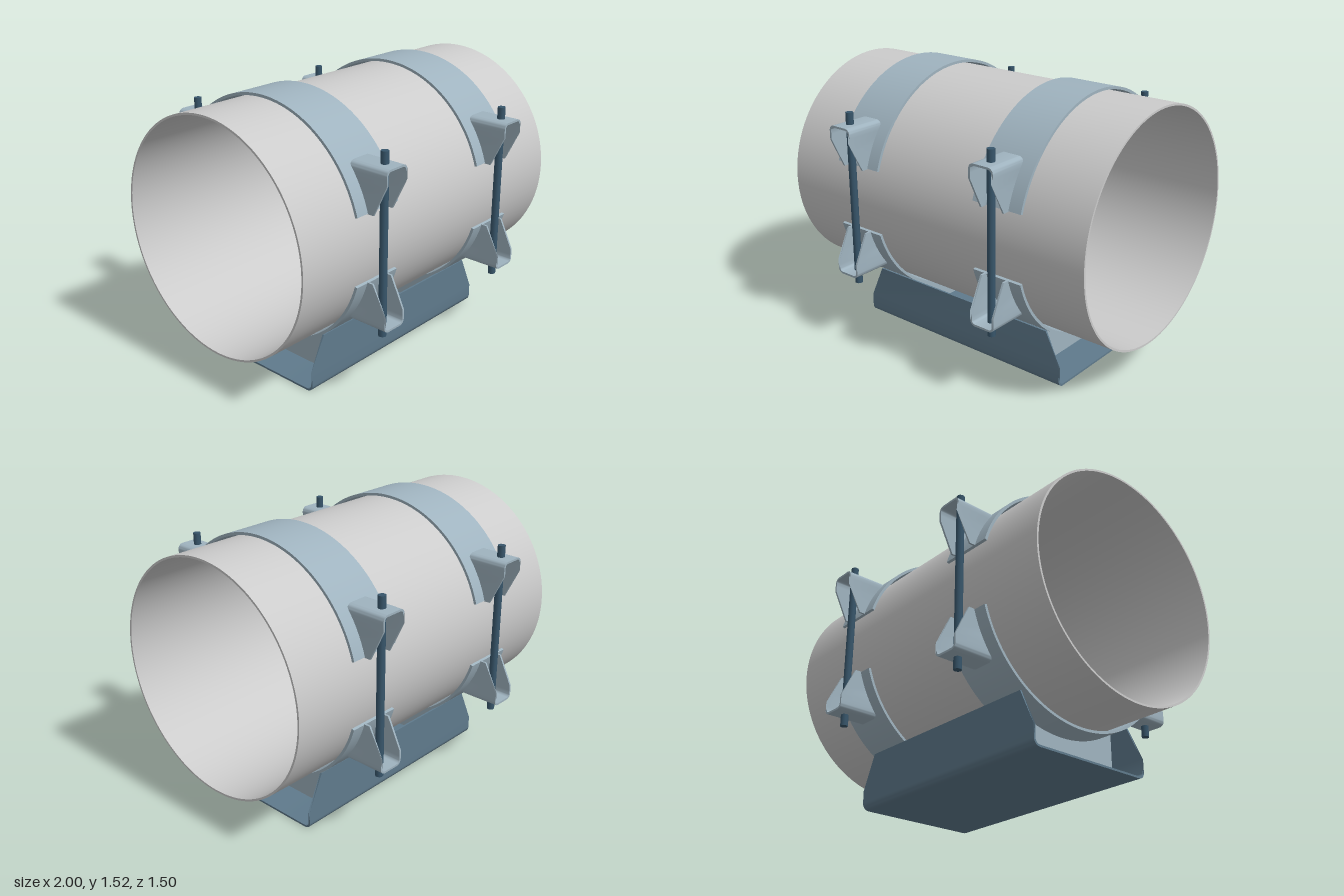
import * as THREE from 'three';
import { toCreasedNormals } from 'three/addons/utils/BufferGeometryUtils.js';

const AXIS_Y = 0.853, STRAP_R = 0.663, CLAMP_X = 0.483;

const mat = (color) => new THREE.MeshStandardMaterial({ color, side: THREE.DoubleSide });
const pipeMat = mat(0xcccccc), strapMat = mat(0x9fb3bf), baseMat = mat(0x5f7a8c), rodMat = mat(0x38566b);

function part(name, geometry, material) {
  const mesh = new THREE.Mesh(geometry, material);
  mesh.name = name;
  return mesh;
}

// Extrudes a shape symmetrically about z = 0
function extrude(shape, depth) {
  return new THREE.ExtrudeGeometry(shape, { depth, bevelEnabled: false, curveSegments: 64 })
    .translate(0, 0, -depth / 2);
}

// Moves every vertex by a rule, then shades with sharp edges kept
function reshape(geometry, rule) {
  const p = geometry.attributes.position;
  for (let i = 0; i < p.count; i++) p.setZ(i, rule(p.getY(i), p.getZ(i)));
  return toCreasedNormals(geometry, 0.6);
}

// Upright U channel section with rounded bottom corners; rows add points along the legs
function channelShape(w, h, t, r, rows) {
  const half = (w, r, y0) => {
    const pts = [];
    for (let i = 0; i <= 6; i++) {
      const a = (i / 6) * Math.PI / 2;
      pts.push([w - r + r * Math.sin(a), y0 + r - r * Math.cos(a)]);
    }
    return [...pts, ...rows.map((y) => [w, y]), [w, h]];
  };
  const mirror = (pts) => pts.map(([x, y]) => [-x, y]);
  const outer = half(w, r, 0), inner = half(w - t, r - t, t);
  const outline = [...mirror(outer).reverse(), ...outer, ...[...inner].reverse(), ...mirror(inner)];
  return new THREE.Shape(outline.map(([x, y]) => new THREE.Vector2(x, y)));
}

function pipeGeometry() {
  const ring = new THREE.Shape().absarc(0, 0, 0.638, 0, Math.PI * 2);
  ring.holes.push(new THREE.Path().absarc(0, 0, 0.627, 0, Math.PI * 2, true));
  return toCreasedNormals(extrude(ring, 2).rotateY(Math.PI / 2), 0.6);
}

function strapGeometry() {
  const a = 0.28, b = Math.PI - a;
  const arc = new THREE.Shape();
  arc.absarc(0, 0, STRAP_R, a, b, false);
  arc.absarc(0, 0, 0.648, b, a, true);
  arc.closePath();
  return toCreasedNormals(extrude(arc, 0.3).rotateY(Math.PI / 2), 0.6);
}

// Lower front lug: inner edge follows the strap, outer edge tapers towards the open end
function lugGeometry() {
  const bottom = -0.425, rows = [0.05, 0.08, 0.12, 0.16, 0.2];
  const g = extrude(channelShape(0.075, 0.245, 0.011, 0.03, rows), 1).translate(0, bottom, 0);
  return reshape(g, (y, z) => {
    const inner = Math.max(0.522, Math.sqrt(STRAP_R ** 2 - y * y) - 0.003);
    const taper = THREE.MathUtils.clamp((y - bottom - 0.08) / 0.165, 0, 1);
    return THREE.MathUtils.lerp(inner, 0.75 - 0.08 * taper, z + 0.5);
  });
}

// Saddle channel with ends chamfered above the lower lip
function saddleGeometry() {
  const g = extrude(channelShape(0.385, 0.305, 0.011, 0.04, [0.11]), 2);
  return reshape(g, (y, z) => {
    const taper = Math.max(0, (y - 0.11) / 0.195);
    return z * (0.693 - 0.09 * taper);
  }).rotateY(Math.PI / 2);
}

// Cross plate with clipped bottom corners and a curved seat for the strap
function ribGeometry() {
  const w = 0.374, a = Math.acos(w / STRAP_R), c = 0.03;
  const s = new THREE.Shape();
  s.moveTo(-w, 0.011 + c);
  s.lineTo(-w + c, 0.011);
  s.lineTo(w - c, 0.011);
  s.lineTo(w, 0.011 + c);
  s.absarc(0, AXIS_Y, STRAP_R, -a, a - Math.PI, true);
  s.closePath();
  return toCreasedNormals(extrude(s, 0.015).rotateY(Math.PI / 2), 0.6);
}

// Pair of half straps with four lugs and two tie rods, centred on the pipe axis
function createClamp() {
  const clamp = new THREE.Group();
  clamp.name = 'clamp';
  const strap = strapGeometry(), lug = lugGeometry();
  const rod = new THREE.CylinderGeometry(0.021, 0.021, 0.98, 10);

  const upper = part('upperStrap', strap, strapMat);
  const lower = part('lowerStrap', strap, strapMat);
  lower.rotation.x = Math.PI;
  clamp.add(upper, lower);

  const turns = {
    lowerFrontLug: [0, 0, 0], upperBackLug: [Math.PI, 0, 0],
    lowerBackLug: [0, Math.PI, 0], upperFrontLug: [0, 0, Math.PI],
  };
  for (const [name, turn] of Object.entries(turns)) {
    const mesh = part(name, lug, strapMat);
    mesh.rotation.set(...turn);
    clamp.add(mesh);
  }
  for (const side of [1, -1]) {
    const mesh = part(side > 0 ? 'frontTieRod' : 'backTieRod', rod, rodMat);
    mesh.position.z = side * 0.674;
    clamp.add(mesh);
  }
  return clamp;
}

export function createModel() {
  const model = new THREE.Group();
  model.name = 'pipeSupport';

  const pipe = part('pipe', pipeGeometry(), pipeMat);
  pipe.position.y = AXIS_Y;
  model.add(pipe, part('saddleBase', saddleGeometry(), baseMat));

  const rib = ribGeometry();
  for (const side of [1, -1]) {
    const clamp = createClamp();
    clamp.position.set(side * CLAMP_X, AXIS_Y, 0);
    const plate = part('saddleRib', rib, strapMat);
    plate.position.x = side * CLAMP_X;
    model.add(clamp, plate);
  }
  return model;
}
